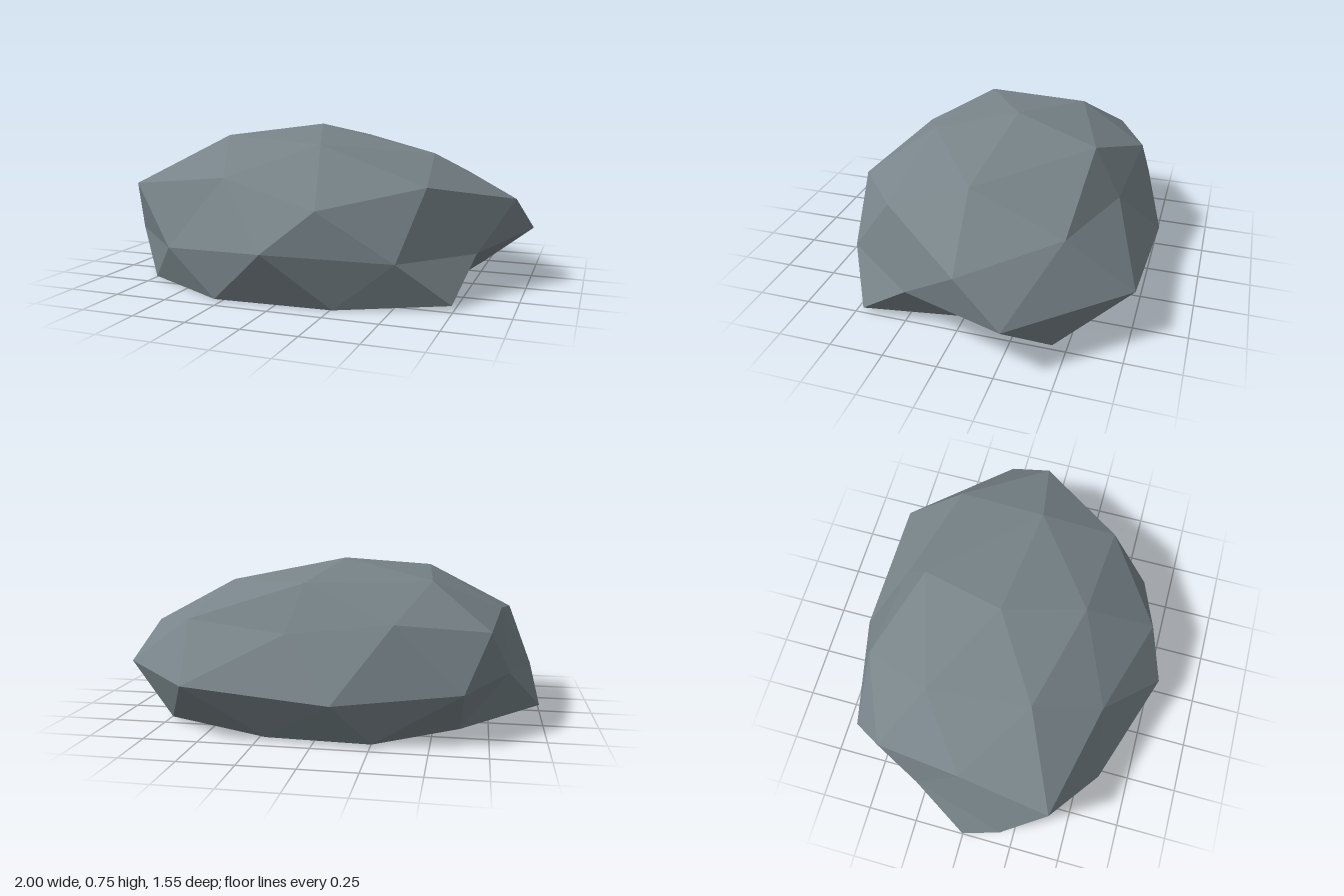
import * as THREE from 'three';

// Faceted boulder: rings of points from the peak down to the flat base, five sectors around.
const peak = [-0.04, 0.75, -0.055];
const crown = [[-0.44, 0.70, 0.20], [0.09, 0.68, 0.33], [0.55, 0.625, 0], [0.08, 0.67, -0.467], [-0.48, 0.67, -0.29]];
const shoulder = [[-0.855, 0.465, 0.395], [0.19, 0.43, 0.67], [0.935, 0.415, -0.06], [0.14, 0.46, -0.6], [-0.75, 0.47, -0.465]];
const shoulderMid = [[-0.315, 0.53, 0.52], [0.6, 0.51, 0.37], [0.635, 0.49, -0.455], [-0.34, 0.52, -0.635], [-0.8, 0.52, -0.05]];
const waistA = [[-0.96, 0.2, 0.19], [-0.02, 0.25, 0.775], [0.8, 0.2, 0.22], [0.57, 0.247, -0.757], [-0.64, 0.233, -0.65]];
const waistB = [[-0.57, 0.2, 0.59], [0.52, 0.21, 0.59], [1, 0.24, -0.28], [-0.09, 0.195, -0.78], [-0.84, 0.25, -0.27]];
const foot = [[-0.295, 0, 0.663], [0.74, 0.02, 0.465], [0.734, 0.01, -0.436], [-0.252, 0, -0.655], [-1, 0.03, 0]];
const footMid = [[-0.76, 0, 0.40], [0.26, 0, 0.64], [0.64, 0, 0], [0.225, 0, -0.634], [-0.623, 0, -0.365]];

export function createModel() {
  const stone = new THREE.MeshStandardMaterial({ color: 0x788489, flatShading: true });
  stone.name = 'slate stone';

  const points = [];
  const face = (a, b, c) => points.push(...a, ...b, ...c);
  const baseCentre = [0, 0, 0];

  for (let i = 0; i < 5; i++) {
    const n = (i + 1) % 5, p = (i + 4) % 5;
    // cap
    face(peak, crown[i], crown[n]);
    face(crown[i], shoulder[i], shoulderMid[i]);
    face(crown[i], shoulderMid[i], crown[n]);
    face(crown[n], shoulderMid[i], shoulder[n]);
    // flanks
    face(shoulder[i], waistA[i], waistB[i]);
    face(shoulder[i], waistB[i], shoulderMid[i]);
    face(shoulderMid[i], waistB[i], waistA[n]);
    face(shoulderMid[i], waistA[n], shoulder[n]);
    // lower skirt
    face(waistB[i], foot[i], waistA[n]);
    face(waistA[i], footMid[i], waistB[i]);
    face(waistA[i], foot[p], footMid[i]);
    face(waistB[i], footMid[i], foot[i]);
    // underside
    face(baseCentre, footMid[i], foot[p]);
    face(baseCentre, foot[i], footMid[i]);
  }

  const geometry = new THREE.BufferGeometry();
  geometry.setAttribute('position', new THREE.Float32BufferAttribute(points, 3));
  geometry.computeVertexNormals();

  const boulder = new THREE.Mesh(geometry, stone);
  boulder.name = 'boulder';
  const group = new THREE.Group();
  group.name = 'rock';
  group.add(boulder);
  return group;
}
